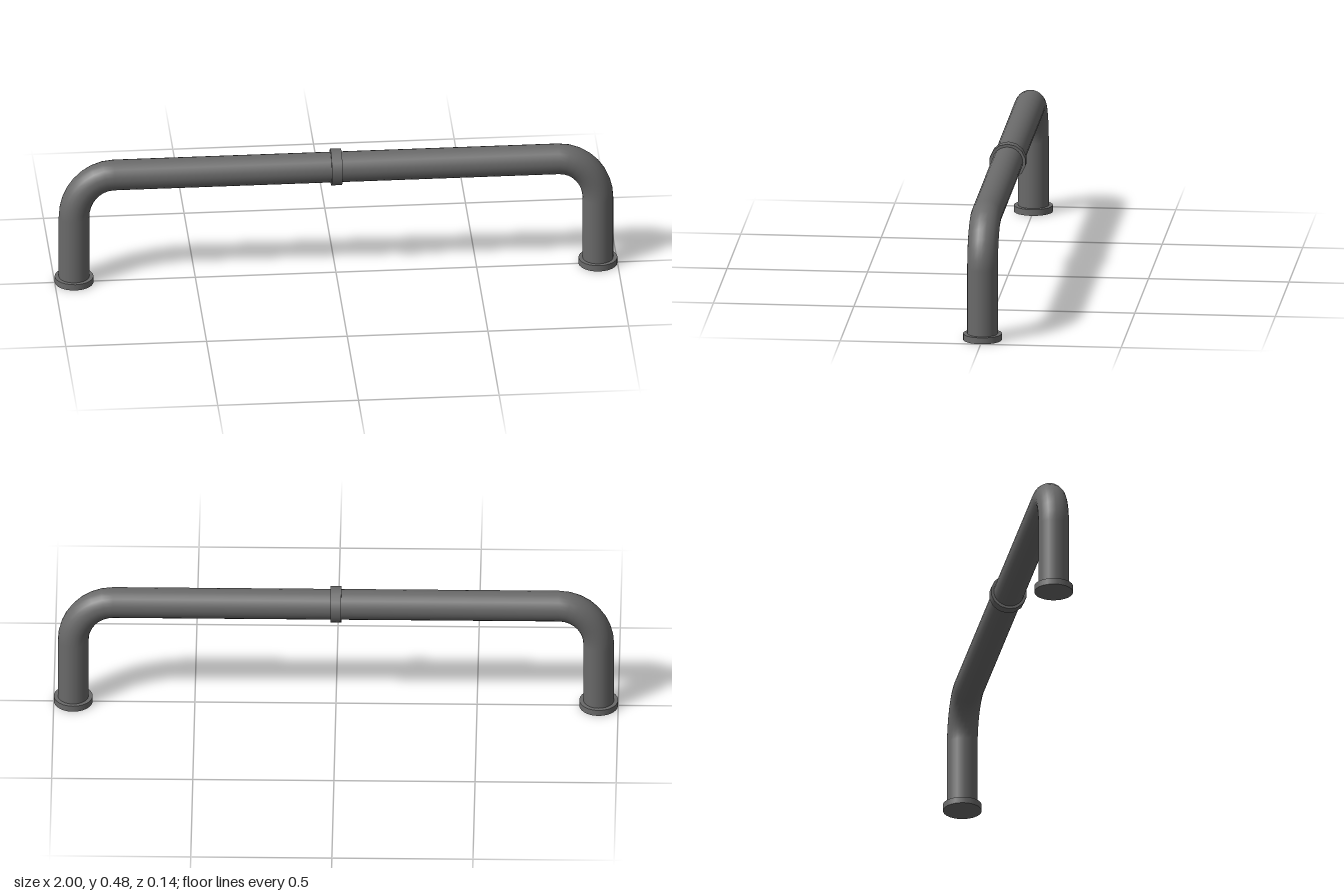
import * as THREE from 'three';

const PIPE = 0.0545, LEG_X = 0.931, BAR_Y = 0.419, BEND_X = 0.79, BEND_Y = 0.26, SIDES = 24;

export function createModel() {
  const model = new THREE.Group();
  const material = new THREE.MeshStandardMaterial({ color: 0x6a6a6a, side: THREE.DoubleSide });

  const add = (name, geometry, x = 0, y = 0) => {
    const mesh = new THREE.Mesh(geometry, material);
    mesh.name = name;
    mesh.position.set(x, y, 0);
    model.add(mesh);
    return mesh;
  };

  // Horizontal grip
  add('bar', new THREE.CylinderGeometry(PIPE, PIPE, 2 * BEND_X, SIDES, 1, true), 0, BAR_Y)
    .rotation.z = Math.PI / 2;

  // Ring around the middle of the grip, with a corner on top
  add('collar', new THREE.CylinderGeometry(0.065, 0.065, 0.038, 14, 1, false, Math.PI / 2), 0, BAR_Y)
    .rotation.z = Math.PI / 2;

  for (const [side, s] of [['left', 1], ['right', -1]]) {
    // Round foot and upright
    add(side + 'Foot', new THREE.CylinderGeometry(0.069, 0.069, 0.023, SIDES), s * LEG_X, 0.0115);
    add(side + 'Leg', new THREE.CylinderGeometry(PIPE, PIPE, BEND_Y - 0.02, SIDES, 1, true), s * LEG_X, (BEND_Y + 0.02) / 2);

    // Quarter bend joining upright and grip
    const k = 0.5523;
    const bend = new THREE.CubicBezierCurve3(
      new THREE.Vector3(s * LEG_X, BEND_Y, 0),
      new THREE.Vector3(s * LEG_X, BEND_Y + k * (BAR_Y - BEND_Y), 0),
      new THREE.Vector3(s * (BEND_X + k * (LEG_X - BEND_X)), BAR_Y, 0),
      new THREE.Vector3(s * BEND_X, BAR_Y, 0)
    );
    add(side + 'Elbow', new THREE.TubeGeometry(bend, 8, PIPE, SIDES));
  }
  return model;
}
